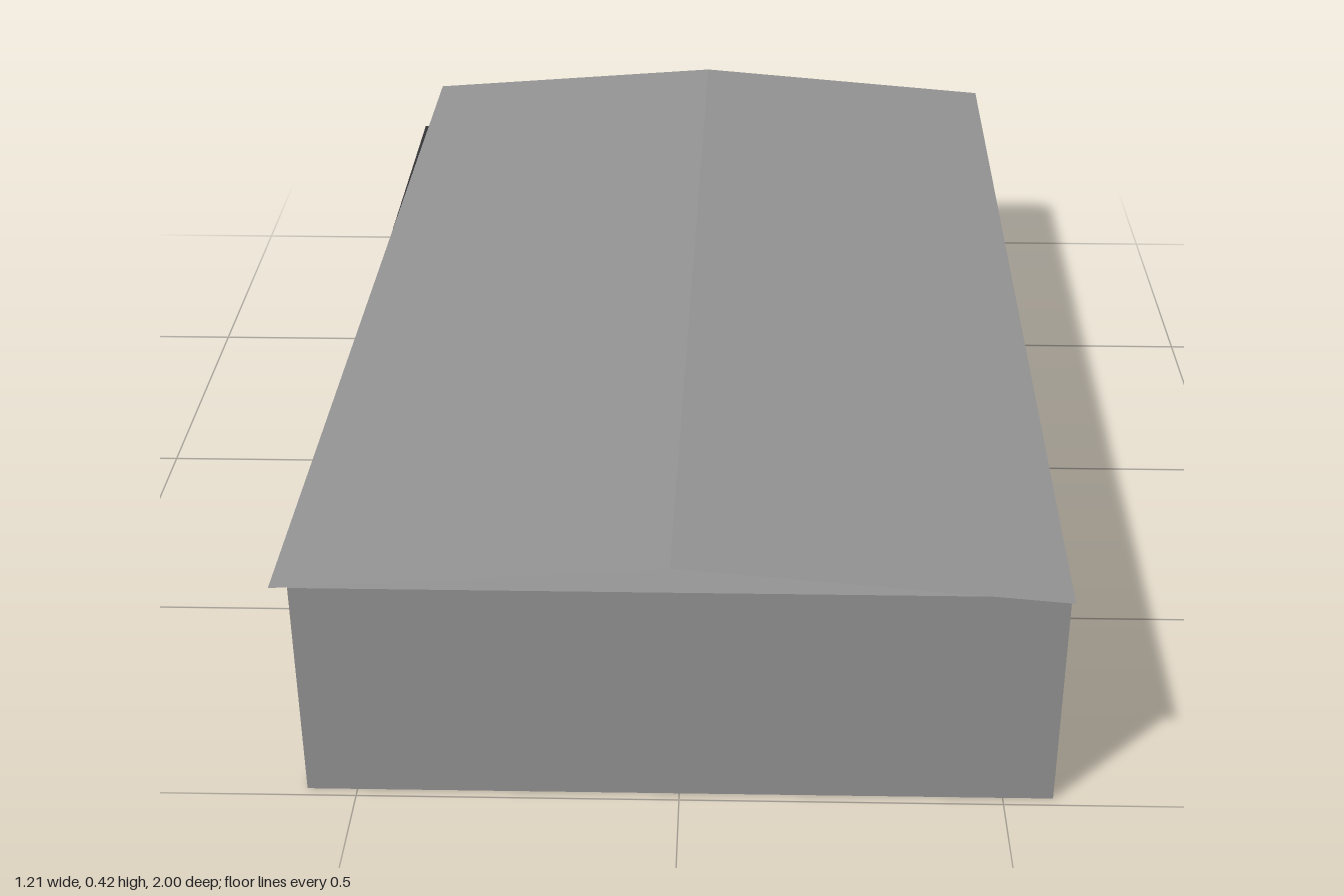
import * as THREE from 'three';

const grey = new THREE.MeshStandardMaterial({ color: 0x939393, side: THREE.DoubleSide, flatShading: true });
const dark = new THREE.MeshStandardMaterial({ color: 0x353537 });
const floorGrey = new THREE.MeshStandardMaterial({ color: 0x808080 });
const red = new THREE.MeshStandardMaterial({ color: 0xe84434 });

const W = 0.578, L = 0.984, H = 0.375;

function add(parent, name, geometry, material, x = 0, y = 0, z = 0) {
  const mesh = new THREE.Mesh(geometry, material);
  mesh.name = name;
  mesh.position.set(x, y, z);
  parent.add(mesh);
  return mesh;
}

// Box given by its min and max corners
function block(parent, name, material, [x0, y0, z0], [x1, y1, z1]) {
  return add(parent, name, new THREE.BoxGeometry(x1 - x0, y1 - y0, z1 - z0), material,
    (x0 + x1) / 2, (y0 + y1) / 2, (z0 + z1) / 2);
}

// Thin plate sloping up from the block's back edge
function slopedBar(parent, name, material, x, width) {
  add(parent, name, new THREE.BoxGeometry(width, 0.005, 0.11), material, x, 0.058, -0.88).rotation.x = 0.5;
}

export function createModel() {
  const model = new THREE.Group();
  model.name = 'hall';

  // Thin walls, open at the bottom
  for (const s of [-1, 1]) {
    add(model, s > 0 ? 'leftWall' : 'rightWall', new THREE.PlaneGeometry(2 * L, H), grey, s * W, H / 2, 0)
      .rotation.y = s * Math.PI / 2;
    add(model, s > 0 ? 'frontWall' : 'backWall', new THREE.PlaneGeometry(2 * W, H), grey, 0, H / 2, s * L)
      .rotation.y = s > 0 ? 0 : Math.PI;
  }
  add(model, 'ceiling', new THREE.PlaneGeometry(2 * W, 2 * L), grey, 0, H, 0).rotation.x = -Math.PI / 2;

  // Shallow folded roof, turned slightly on the walls, with open gables
  const rise = 0.048, halfWidth = 0.594, halfLength = 0.9925;
  const roofGeometry = new THREE.PlaneGeometry(2 * halfWidth, 2 * halfLength, 2, 1).rotateX(-Math.PI / 2);
  const p = roofGeometry.attributes.position;
  for (let i = 0; i < p.count; i++) p.setY(i, rise * (1 - Math.abs(p.getX(i)) / halfWidth));
  roofGeometry.computeVertexNormals();
  add(model, 'roof', roofGeometry, grey, 0, H, 0).rotation.y = -0.0125;

  // Dark inner block, emerging through the right wall as a wide gate
  block(model, 'innerBlock', dark, [-0.6, 0.032, -0.83], [0.538, 0.35, 0.83]);
  block(model, 'blockUnderside', floorGrey, [-0.599, 0.029, -0.829], [0.538, 0.033, 0.829]);

  // Red trim along the block's far lower edge
  block(model, 'edgeTrim', red, [0.538, 0.03, -0.83], [0.543, 0.06, 0.83]);

  // Paired red bars behind the block, and one pale bar
  for (const x of [0.29, 0.06, -0.18])
    for (const dx of [-0.028, 0.028]) slopedBar(model, 'bar', red, x + dx, 0.05);
  slopedBar(model, 'paleBar', grey, -0.255, 0.014);

  return model;
}
